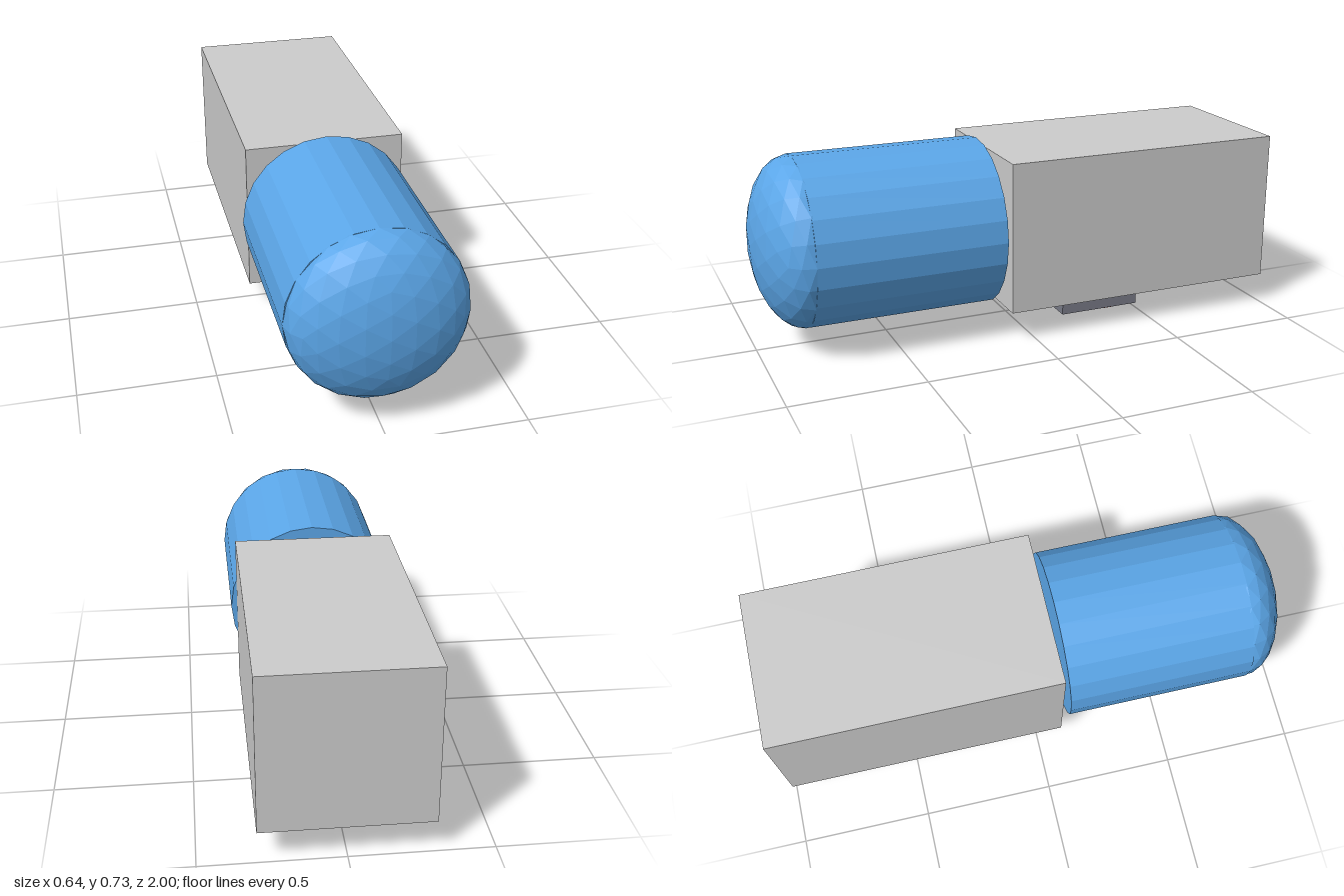
import * as THREE from 'three';

const material = (color) => new THREE.MeshStandardMaterial({ color, flatShading: true });

export function createModel() {
  const model = new THREE.Group();
  const grey = material(0xcccccc);
  const darkGrey = material(0x787a86);
  const blue = material(0x5ba6e8);
  const red = material(0xf06a6a);

  const add = (name, geometry, mat, x, y, z) => {
    const mesh = new THREE.Mesh(geometry, mat);
    mesh.name = name;
    mesh.position.set(x, y, z);
    model.add(mesh);
    return mesh;
  };

  // Rear housing
  add('housing', new THREE.BoxGeometry(0.6, 0.576, 1.095), grey, 0, 0.405, -0.4525);

  // Front barrel: 24 sides, lying along z
  const radius = 0.322;
  const barrel = new THREE.CylinderGeometry(radius, radius, 0.71, 24).rotateX(Math.PI / 2);
  // turn so that a corner sits at the very top
  add('barrel', barrel, blue, 0, 0.405, 0.475);

  // Flattened faceted dome closing the barrel
  const dome = add('dome', new THREE.IcosahedronGeometry(1, 3), blue, 0, 0.405, 0.83);
  dome.scale.set(radius, radius, 0.17);

  // Plate under the housing with two small buttons
  add('basePlate', new THREE.BoxGeometry(0.46, 0.07, 0.32), darkGrey, 0, 0.083, -0.305);
  const button = new THREE.BoxGeometry(0.069, 0.048, 0.044);
  add('leftButton', button, red, 0.0925, 0.024, -0.398);
  add('rightButton', button, blue, -0.0925, 0.024, -0.398);

  return model;
}
